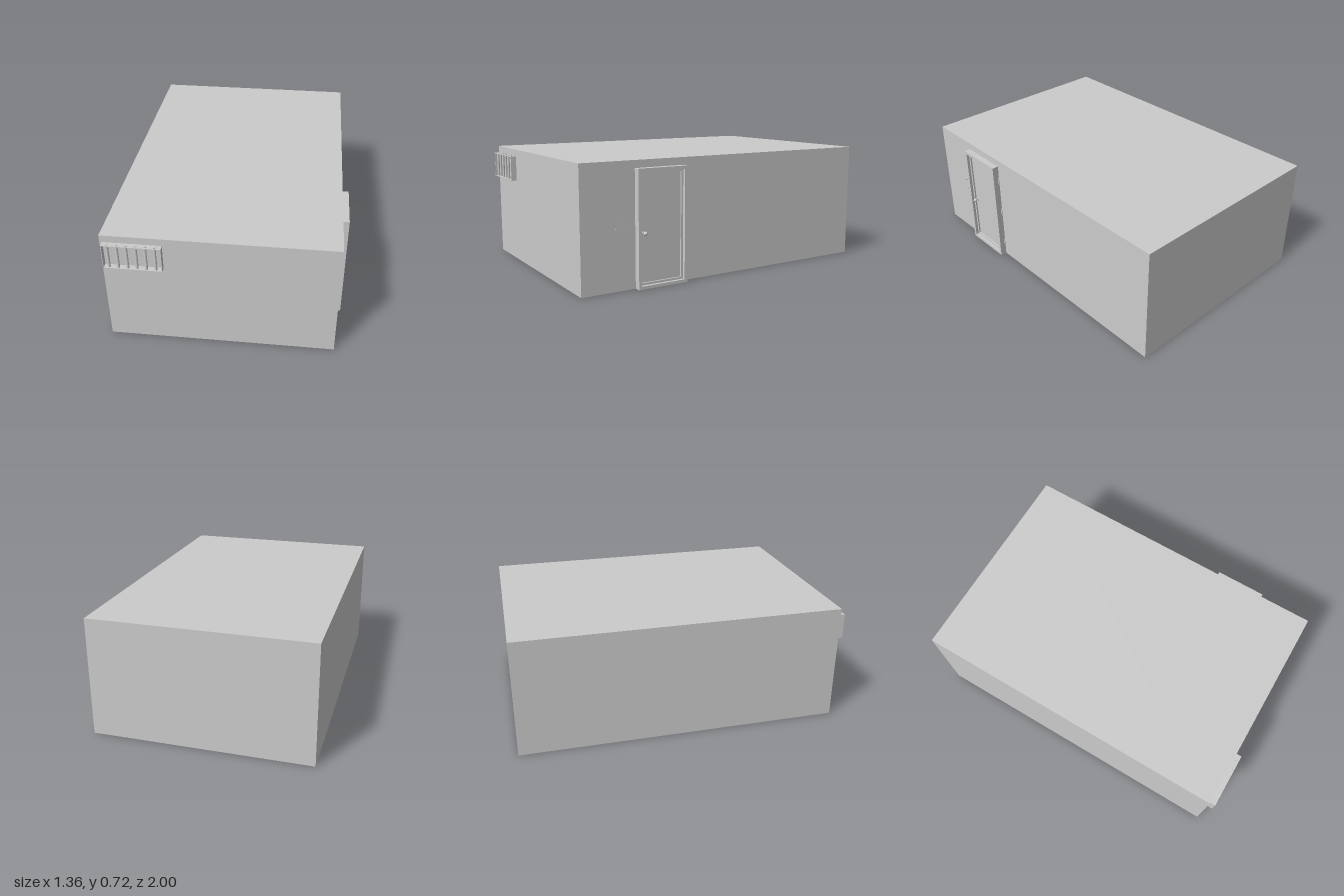
import * as THREE from 'three';

const grey = new THREE.MeshStandardMaterial({ color: 0xcccccc });

export function createModel() {
  const model = new THREE.Group();

  function add(name, geometry, x = 0, y = 0, z = 0, parent = model) {
    const mesh = new THREE.Mesh(geometry, grey);
    mesh.name = name;
    mesh.position.set(x, y, z);
    parent.add(mesh);
    return mesh;
  }

  // Box given by its min and max corners
  function block(name, [x0, y0, z0], [x1, y1, z1], parent = model) {
    return add(name, new THREE.BoxGeometry(x1 - x0, y1 - y0, z1 - z0),
      (x0 + x1) / 2, (y0 + y1) / 2, (z0 + z1) / 2, parent);
  }

  // Rectangular ring standing in the XY plane, extruded towards +z
  function ring(u0, v0, u1, v1, rim, depth) {
    const shape = new THREE.Shape([
      new THREE.Vector2(u0, v0), new THREE.Vector2(u1, v0),
      new THREE.Vector2(u1, v1), new THREE.Vector2(u0, v1)]);
    shape.holes.push(new THREE.Path([
      new THREE.Vector2(u0 + rim, v0 + rim), new THREE.Vector2(u0 + rim, v1 - rim),
      new THREE.Vector2(u1 - rim, v1 - rim), new THREE.Vector2(u1 - rim, v0 + rim)]));
    return new THREE.ExtrudeGeometry(shape, { depth, bevelEnabled: false });
  }

  // Building body
  const wallX = 0.634, wallZ = 0.966;
  block('building', [-0.68, 0, -1], [wallX, 0.72, wallZ]);

  // Barred window high on the front wall
  const barredWindow = new THREE.Group();
  barredWindow.name = 'barredWindow';
  model.add(barredWindow);
  add('windowFrame', ring(-0.666, 0.522, -0.335, 0.676, 0.003, 1 - wallZ), 0, 0, wallZ, barredWindow);
  for (let i = 0; i < 6; i++) {
    add('windowBar', new THREE.CylinderGeometry(0.008, 0.008, 0.165, 10),
      -0.635 + i * 0.0524, 0.598, 0.986, barredWindow);
  }

  // Door on the side wall: built facing +z, then turned to face +x
  const door = new THREE.Group();
  door.name = 'door';
  door.position.set(wallX, 0, 0);
  door.rotation.y = Math.PI / 2;
  model.add(door);
  // After the turn, local x runs along -z
  add('doorFrame', ring(-0.635, 0, -0.318, 0.676, 0.018, 0.04), 0, 0, 0, door);
  add('doorStop', ring(-0.617, 0.018, -0.336, 0.658, 0.013, 0.022), 0, 0, 0, door);
  block('doorPanel', [-0.606, 0.029, 0], [-0.347, 0.647, 0.012], door);

  // Knob with rose and stem
  const knobX = -0.588, knobY = 0.313;
  [['knobRose', 0.012, 0.006, 0.014], ['knobStem', 0.005, 0.022, 0.023]].forEach(([name, r, h, z]) => {
    add(name, new THREE.CylinderGeometry(r, r, h, 16), knobX, knobY, z, door).rotation.x = Math.PI / 2;
  });
  add('knob', new THREE.SphereGeometry(0.012, 16, 12), knobX, knobY, 0.032, door);

  // Hinges on the jamb
  for (const y of [0.107, 0.345, 0.577]) {
    add('hinge', new THREE.CylinderGeometry(0.004, 0.004, 0.04, 10), -0.316, y, 0.006, door);
  }

  // Small, almost flush fittings on the wall beside the door
  for (const [y, z] of [[0.41, 0.715], [0.4, 0.735], [0.33, 0.695], [0.34, 0.725], [0.35, 0.755]]) {
    block('wallStud', [wallX - 0.004, y - 0.004, z - 0.004], [wallX + 0.002, y + 0.004, z + 0.004]);
  }

  return model;
}
